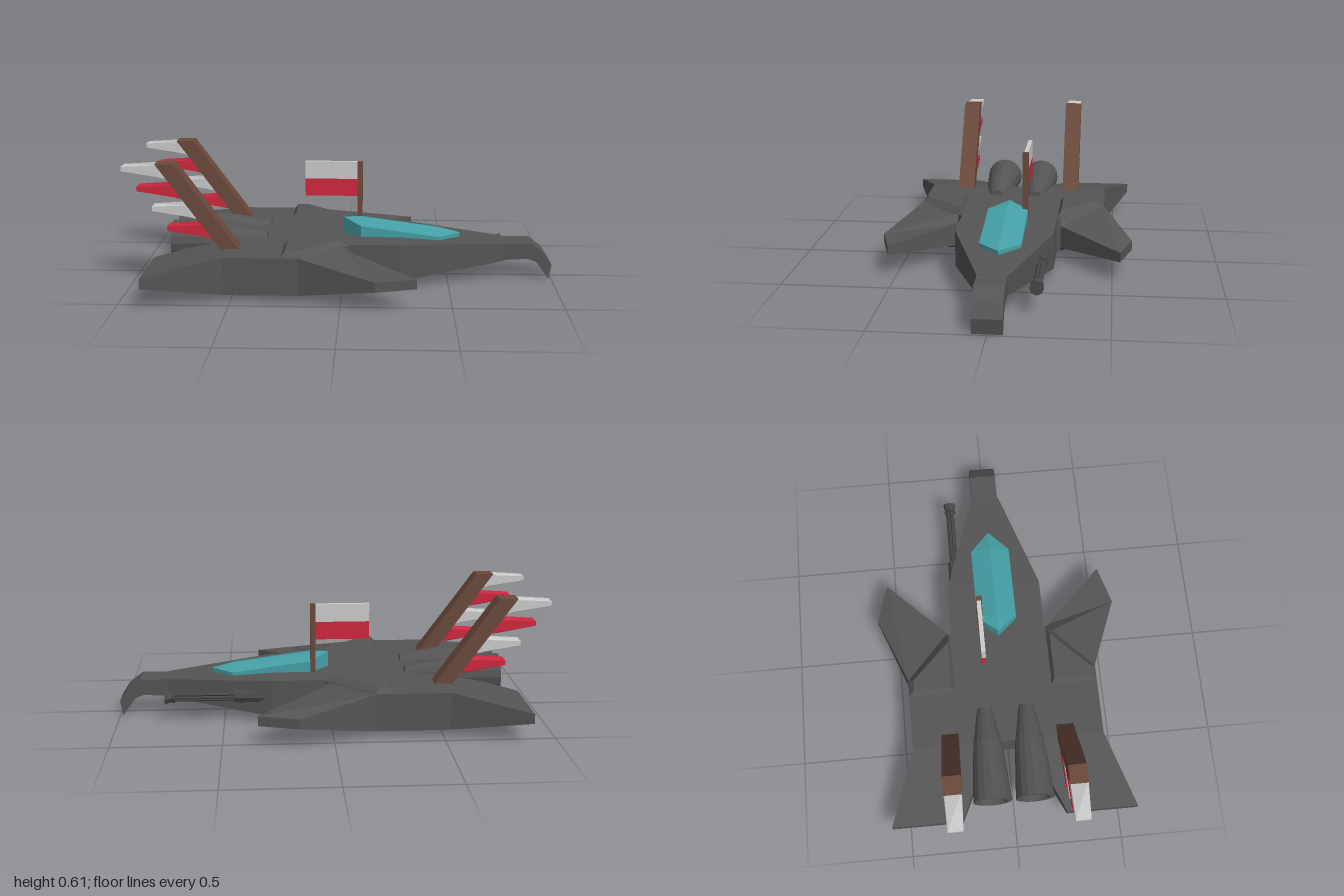
import * as THREE from 'three';

const mat = (color) => new THREE.MeshStandardMaterial({ color, flatShading: true, side: THREE.DoubleSide });

export function createModel() {
  const model = new THREE.Group();
  const hull = mat(0x555555), dark = mat(0x484848), brown = mat(0x6b4a3c);
  const red = mat(0xd0283f), white = mat(0xcccccc), glass = mat(0x45a0a6);

  const add = (name, geometry, material, x = 0, y = 0, z = 0) => {
    const mesh = new THREE.Mesh(geometry, material);
    mesh.name = name;
    mesh.position.set(x, y, z);
    model.add(mesh);
    return mesh;
  };

  // Plate from a plan outline; each corner is [x, z, bottom, top]
  const plate = (name, corners, material, side = 1) => {
    let pts = corners.map(([x, z, b, t]) => [x, z * side, b, t]);
    let plan = pts.map(([x, z]) => new THREE.Vector2(x, -z));
    if (THREE.ShapeUtils.isClockWise(plan)) {
      pts.reverse();
      plan.reverse();
    }
    const pos = [];
    const put = (i, level) => pos.push(pts[i][0], pts[i][level], pts[i][1]);
    for (const [a, b, c] of THREE.ShapeUtils.triangulateShape(plan, [])) {
      put(a, 3); put(b, 3); put(c, 3);
      put(a, 2); put(c, 2); put(b, 2);
    }
    pts.forEach((_, a) => {
      const b = (a + 1) % pts.length;
      put(a, 3); put(a, 2); put(b, 2);
      put(a, 3); put(b, 2); put(b, 3);
    });
    const g = new THREE.BufferGeometry();
    g.setAttribute('position', new THREE.Float32BufferAttribute(pos, 3));
    g.computeVertexNormals();
    return add(name, g, material);
  };

  // Side profile in x, y extruded across z
  const profile = (name, points, width, z, material) => {
    const shape = new THREE.Shape(points.map(([x, y]) => new THREE.Vector2(x, y)));
    const g = new THREE.ExtrudeGeometry(shape, { depth: width, bevelEnabled: false });
    return add(name, g, material, 0, 0, z - width / 2);
  };

  // Cylinder lying along x, from x0 to x1
  const rod = (name, x0, x1, r0, r1, y, z, sides, material) => {
    const g = new THREE.CylinderGeometry(r1, r0, x1 - x0, sides).rotateZ(-Math.PI / 2);
    return add(name, g, material, (x0 + x1) / 2, y, z);
  };

  // Fuselage
  const half = [[-0.53, 0.455], [-0.19, 0.455], [0, 0.25], [0.03, 0.23], [0.27, 0.23]];
  const outline = [...half, ...half.map(([x, z]) => [x, -z]).reverse()];
  plate('fuselage', outline.map(([x, z]) => [x, z, 0.035, 0.21]), hull);
  plate('foreBody', [
    [0.27, 0.23, 0.035, 0.21], [0.27, -0.23, 0.035, 0.21],
    [0.77, -0.07, 0.09, 0.178], [0.77, 0.07, 0.09, 0.178],
  ], hull);
  profile('beak', [
    [0.7, 0.177], [0.9, 0.177], [0.962, 0.13], [1, 0.07], [0.987, 0],
    [0.925, 0.085], [0.885, 0.1], [0.7, 0.09],
  ], 0.13, 0, hull);

  for (const s of [1, -1]) {
    // Wings taper to thin edges
    plate('rearWing', [
      [-0.53, 0.455, 0.035, 0.21], [-0.88, 0.58, 0.1, 0.145],
      [-0.88, 0.245, 0.1, 0.145], [-0.53, 0.09, 0.035, 0.21],
    ], hull, s);
    plate('frontWing', [
      [-0.19, 0.455, 0.035, 0.21], [0, 0.25, 0.035, 0.21], [0.05, 0.25, 0.065, 0.175],
      [0.34, 0.535, 0.1, 0.145], [0.155, 0.59, 0.1, 0.145],
    ], hull, s);

    // Raised shoulder panel with sloped rim
    const base = [[-0.27, 0.455], [-0.19, 0.455], [0.035, 0.235], [-0.27, 0.235]];
    const top = [[-0.25, 0.43], [-0.2, 0.43], [-0.02, 0.25], [-0.25, 0.25]];
    plate('shoulderPanel', top.map(([x, z]) => [x, z, 0.21, 0.237]), hull, s);
    base.forEach((p, i) => {
      const j = (i + 1) % 4;
      plate('shoulderRim', [
        [...p, 0.208, 0.21], [...base[j], 0.208, 0.21],
        [...top[j], 0.208, 0.237], [...top[i], 0.208, 0.237],
      ], hull, s);
    });

    // Engine with hollow rear nozzle
    const engine = new THREE.LatheGeometry([
      [0, -0.62], [0.06, -0.62], [0.07, -0.81], [0.092, -0.81],
      [0.07, -0.53], [0.038, -0.36], [0, -0.36],
    ].map(([r, h]) => new THREE.Vector2(r, h)), 16).rotateZ(-Math.PI / 2);
    add('engine', engine, hull, 0, 0.195, 0.1 * s);

    // Slanted tail fin with trailing feathers
    const zf = 0.275 * s;
    profile('tailFin', [[-0.55, 0.2], [-0.465, 0.2], [-0.76, 0.605], [-0.845, 0.605]], 0.082, zf, brown);
    for (let i = 0; i < 4; i++) {
      const x = -1 + 0.067 * i, y = 0.58 - 0.0925 * i;
      plate('feather', [
        [x, 0.275 - 0.034, y - 0.01, y + 0.01], [x, 0.275 + 0.034, y - 0.01, y + 0.01],
        [x + 0.17, 0.275 + 0.04, y - 0.035, y + 0.02], [x + 0.2, 0.275 + 0.038, y - 0.044, y - 0.005],
        [x + 0.2, 0.275 - 0.038, y - 0.044, y - 0.005], [x + 0.17, 0.275 - 0.04, y - 0.035, y + 0.02],
      ], i % 2 ? red : white, s);
    }
  }

  // Canopy: sloped six-sided slab with a central ridge
  for (const s of [1, -1]) {
    plate('canopyMiddle', [
      [0.085, 0, 0.2, 0.285], [0.085, 0.095, 0.2, 0.264],
      [0.46, 0.095, 0.18, 0.213], [0.46, 0, 0.18, 0.235],
    ], glass, s);
    plate('canopyRear', [
      [0, 0, 0.2, 0.285], [0.085, 0.095, 0.2, 0.264], [0.085, 0, 0.2, 0.285],
    ], glass, s);
    plate('canopyFront', [
      [0.46, 0, 0.18, 0.235], [0.46, 0.095, 0.18, 0.213], [0.56, 0, 0.18, 0.212],
    ], glass, s);
  }

  // Flag and pole
  add('flagPole', new THREE.BoxGeometry(0.025, 0.34, 0.027), brown, 0.077, 0.37, -0.083);
  add('flagUpper', new THREE.BoxGeometry(0.254, 0.085, 0.02), white, -0.062, 0.4975, -0.085);
  add('flagLower', new THREE.BoxGeometry(0.254, 0.085, 0.02), red, -0.062, 0.4125, -0.085);

  // Rotary gun on the right of the nose
  const gy = 0.125, gz = -0.185;
  rod('gunHousing', 0.25, 0.45, 0.035, 0.03, gy, gz, 8, dark);
  for (let i = 0; i < 6; i++) {
    const a = (i * Math.PI) / 3;
    rod('gunBarrel', 0.44, 0.775, 0.007, 0.007, gy + 0.014 * Math.sin(a), gz + 0.014 * Math.cos(a), 6, dark);
  }
  rod('gunCollar', 0.73, 0.745, 0.03, 0.024, gy, gz, 8, dark);
  rod('gunMuzzle', 0.745, 0.775, 0.024, 0.032, gy, gz, 8, dark);

  return model;
}
